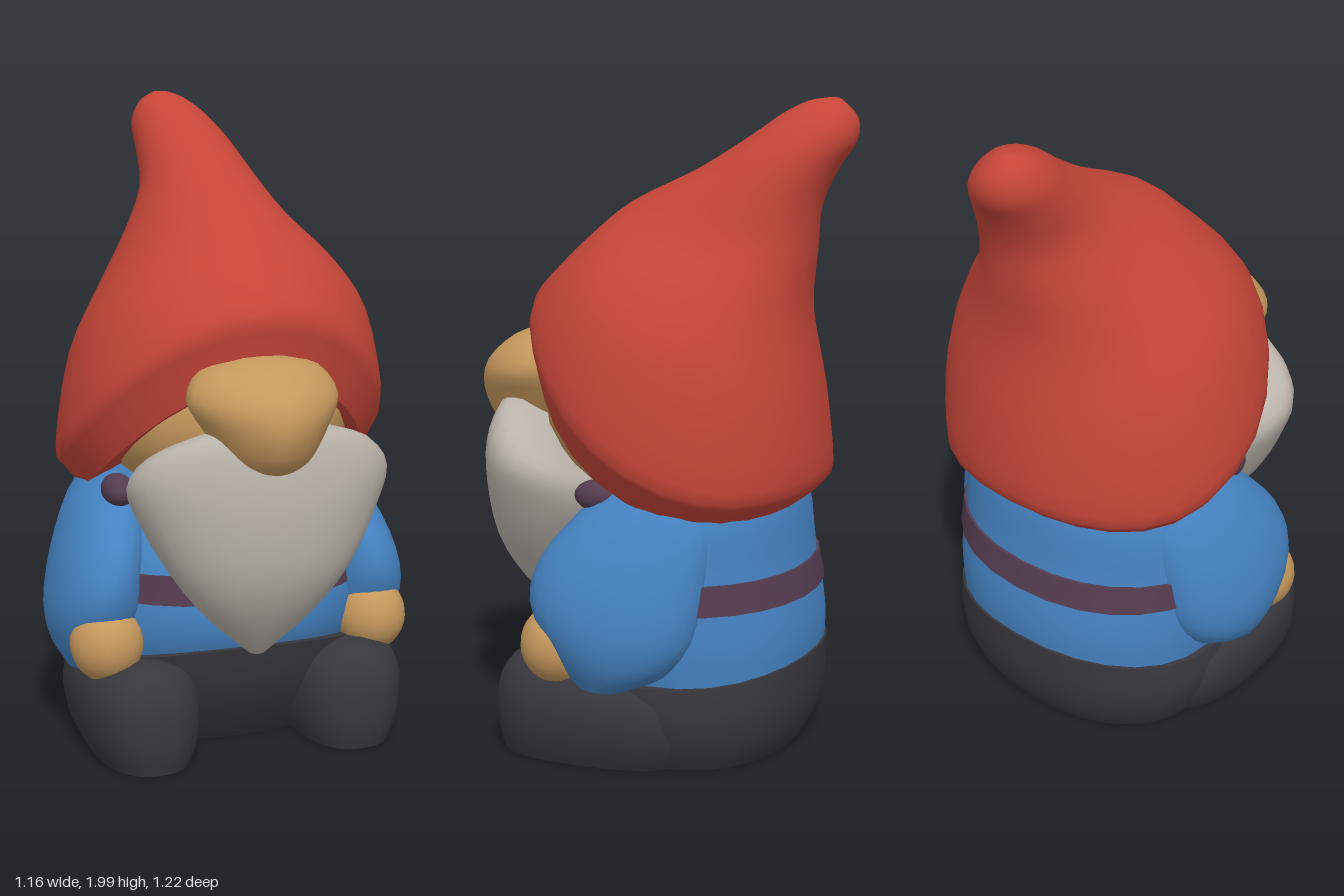
import * as THREE from 'three';
import { toCreasedNormals } from 'three/addons/utils/BufferGeometryUtils.js';

const mat = (name, color) => {
  const m = new THREE.MeshStandardMaterial({ color });
  m.name = name;
  return m;
};

// Catmull-Rom blend of two neighbouring cross-sections, parameter by parameter
function blend(rings, t) {
  const n = rings.length - 1;
  const i = Math.min(Math.floor(t), n - 1), f = t - i;
  const a = rings[Math.max(i - 1, 0)], b = rings[i], c = rings[i + 1], d = rings[Math.min(i + 2, n)];
  return b.map((_, k) => 0.5 * (2 * b[k] + (c[k] - a[k]) * f
    + (2 * a[k] - 5 * b[k] + 4 * c[k] - d[k]) * f * f
    + (3 * b[k] - a[k] - 3 * c[k] + d[k]) * f * f * f));
}

// Skins tilted oval sections listed from bottom to top.
// Section: [xMin, xMax, zFront, yFront, zBack, yBack, ySide]; p < 1 is boxier, p > 1 more pointed
function loft(rings, { sub = 3, seg = 28, p = 1, grow = 0 } = {}) {
  const pos = [], idx = [], rows = (rings.length - 1) * sub + 1;
  const bend = (v) => Math.sign(v) * Math.pow(Math.abs(v), p);
  for (let j = 0; j < rows; j++) {
    const [x0, x1, zf, yf, zb, yb, ys] = blend(rings, j / sub);
    for (let i = 0; i < seg; i++) {
      const a = (i / seg) * Math.PI * 2, s = Math.sin(a), c = Math.cos(a);
      pos.push((x0 + x1) / 2 + ((x1 - x0) / 2 + grow) * bend(s),
        ys + ((yf - yb) / 2) * c + ((yf + yb) / 2 - ys) * c * c,
        (zf + zb) / 2 + ((zf - zb) / 2 + grow) * bend(c));
    }
  }
  for (let j = 0; j < rows - 1; j++) {
    for (let i = 0; i < seg; i++) {
      const a = j * seg + i, b = j * seg + ((i + 1) % seg);
      idx.push(a, b, b + seg, a, b + seg, a + seg);
    }
  }
  const cap = (row, r, up) => {
    const centre = pos.length / 3;
    pos.push((r[0] + r[1]) / 2, (r[3] + r[5]) / 2, (r[2] + r[4]) / 2);
    for (let i = 0; i < seg; i++) {
      const a = row * seg + i, b = row * seg + ((i + 1) % seg);
      if (up) idx.push(a, b, centre);
      else idx.push(b, a, centre);
    }
  };
  cap(0, rings[0], false);
  cap(rows - 1, rings[rings.length - 1], true);
  const g = new THREE.BufferGeometry();
  g.setAttribute('position', new THREE.Float32BufferAttribute(pos, 3));
  g.setIndex(idx);
  return toCreasedNormals(g, 0.8);
}

export function createModel() {
  const red = mat('hat red', 0xc54538);
  const blue = mat('coat blue', 0x4583c2);
  const skin = mat('skin tan', 0xc6985d);
  const grey = mat('beard grey', 0xbab3aa);
  const black = mat('trouser black', 0x37373d);
  const plum = mat('belt plum', 0x553c50);
  const model = new THREE.Group();

  const add = (name, geometry, material) => {
    const m = new THREE.Mesh(geometry, material);
    m.name = name;
    model.add(m);
    return m;
  };
  const ball = (name, material, [x, y, z], [sx, sy, sz]) => {
    const m = add(name, new THREE.SphereGeometry(1, 24, 16), material);
    m.position.set(x, y, z);
    m.scale.set(sx, sy, sz);
  };

  // Hat: turned-in brim, drooping back and a leaning tip
  add('hat', loft([
    [-0.43, 0.45, 0.365, 1.2, -0.45, 0.775, 0.83],
    [-0.485, 0.505, 0.382, 1.32, -0.505, 0.82, 0.9],
    [-0.51, 0.53, 0.385, 1.405, -0.535, 0.88, 0.97],
    [-0.455, 0.495, 0.295, 1.5, -0.515, 1.1, 1.25],
    [-0.35, 0.4, 0.2, 1.59, -0.475, 1.36, 1.44],
    [-0.245, 0.27, 0.08, 1.69, -0.49, 1.55, 1.59],
    [-0.165, 0.205, -0.13, 1.79, -0.505, 1.68, 1.72],
    [-0.15, 0.155, -0.29, 1.89, -0.55, 1.79, 1.83],
    [-0.145, 0.1, -0.38, 1.955, -0.6, 1.87, 1.91],
    [-0.11, 0.035, -0.45, 1.99, -0.6, 1.94, 1.97],
    [-0.06, -0.02, -0.51, 2.0, -0.55, 1.995, 2.0],
  ], { p: 0.95 }), red);

  // Head and nose
  ball('head', skin, [0, 1.06, -0.02], [0.41, 0.31, 0.38]);
  add('nose', loft([
    [-0.07, 0.06, 0.5, 0.935, 0.36, 0.935, 0.935],
    [-0.135, 0.125, 0.57, 0.985, 0.3, 0.97, 0.98],
    [-0.2, 0.185, 0.61, 1.08, 0.2, 1.07, 1.08],
    [-0.24, 0.225, 0.59, 1.17, 0.18, 1.16, 1.16],
    [-0.19, 0.18, 0.5, 1.25, 0.2, 1.24, 1.24],
    [-0.08, 0.08, 0.41, 1.28, 0.25, 1.27, 1.27],
  ], { p: 1.15 }), skin);

  // Beard, with its top edge sweeping down to the ears
  add('beard', loft([
    [-0.03, 0.02, 0.36, 0.35, 0.31, 0.35, 0.35],
    [-0.17, 0.16, 0.465, 0.49, 0.25, 0.47, 0.48],
    [-0.28, 0.28, 0.53, 0.64, 0.18, 0.6, 0.62],
    [-0.365, 0.37, 0.545, 0.82, 0.12, 0.72, 0.78],
    [-0.405, 0.41, 0.53, 0.96, 0.12, 0.8, 0.9],
    [-0.35, 0.35, 0.5, 1.06, 0.15, 0.84, 0.98],
    [-0.22, 0.22, 0.45, 1.09, 0.2, 0.9, 1.02],
  ], { p: 0.93 }), grey);

  // Coat and belt
  add('coat', loft([
    [-0.46, 0.46, 0.24, 0.25, -0.505, 0.25, 0.25],
    [-0.48, 0.48, 0.325, 0.4, -0.515, 0.4, 0.4],
    [-0.47, 0.47, 0.3, 0.6, -0.48, 0.6, 0.6],
    [-0.44, 0.44, 0.2, 0.78, -0.455, 0.78, 0.78],
    [-0.37, 0.37, 0.16, 0.92, -0.4, 0.92, 0.92],
  ], { p: 0.93 }), blue);
  add('belt', loft([
    [-0.477, 0.477, 0.315, 0.5, -0.5, 0.5, 0.5],
    [-0.471, 0.471, 0.302, 0.59, -0.482, 0.59, 0.59],
  ], { p: 0.93, sub: 1, grow: 0.008 }), plum);

  // Trouser seat
  add('trousers', loft([
    [-0.42, 0.42, 0.17, 0.01, -0.45, 0.01, 0.01],
    [-0.46, 0.46, 0.22, 0.08, -0.49, 0.08, 0.08],
    [-0.49, 0.49, 0.29, 0.2, -0.515, 0.18, 0.18],
    [-0.485, 0.485, 0.33, 0.36, -0.52, 0.315, 0.28],
  ], { p: 0.93 }), black);

  // Mirrored limbs
  for (const s of [-1, 1]) {
    const side = s > 0 ? 'left' : 'right';
    const span = (a, b) => (s > 0 ? [a, b] : [-b, -a]);
    add(side + 'Leg', loft([
      [...span(0.18, 0.48), 0.395, 0.01, -0.2, 0.01, 0.01],
      [...span(0.15, 0.515), 0.41, 0.09, -0.25, 0.09, 0.09],
      [...span(0.15, 0.525), 0.405, 0.22, -0.25, 0.2, 0.2],
      [...span(0.19, 0.49), 0.36, 0.305, -0.2, 0.27, 0.28],
      [...span(0.27, 0.41), 0.28, 0.33, -0.1, 0.29, 0.31],
    ], { p: 0.8 }), black);
    add(side + 'Sleeve', loft([
      [...span(0.35, 0.52), 0.12, 0.27, -0.06, 0.26, 0.26],
      [...span(0.31, 0.565), 0.2, 0.37, -0.17, 0.31, 0.34],
      [...span(0.29, 0.582), 0.265, 0.51, -0.25, 0.42, 0.45],
      [...span(0.27, 0.55), 0.24, 0.64, -0.28, 0.58, 0.61],
      [...span(0.24, 0.48), 0.14, 0.77, -0.29, 0.76, 0.77],
      [...span(0.22, 0.4), 0.04, 0.87, -0.25, 0.87, 0.87],
    ]), blue);
    ball(side + 'Hand', skin, [s * 0.437, 0.375, 0.18], [0.113, 0.12, 0.115]);
    ball(side + 'Collar', plum, [s * 0.365, 0.825, 0.07], [0.05, 0.05, 0.08]);
  }
  return model;
}
